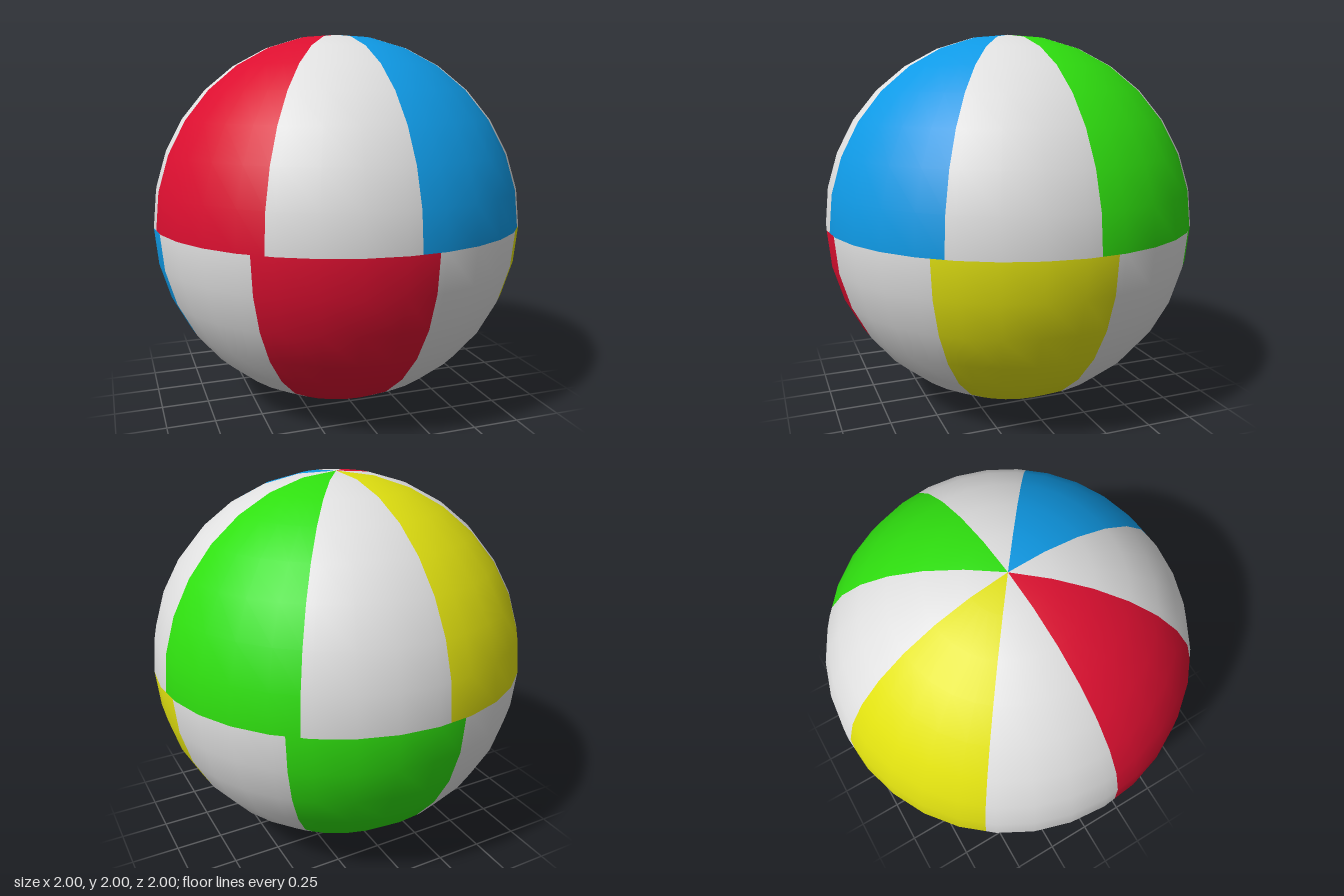
import * as THREE from 'three';

const SIDES = 32;              // facets around the ball
const ROWS = 8;                // rows of facets in each half
const STEP = 360 / SIDES;
const rad = THREE.MathUtils.degToRad;

function material(name, color) {
  const m = new THREE.MeshStandardMaterial({ color });
  m.name = name;
  return m;
}

// One gore between two longitudes (0 = front, 90 = left side), from polar row r0 to r0 + ROWS.
// Its side edges lie on the flat facets, so neighbouring gores meet without a gap.
function goreGeometry(start, end, r0) {
  const angles = [start];
  for (let k = Math.floor(start / STEP) + 1; k * STEP < end; k++) angles.push(k * STEP);
  angles.push(end);

  const positions = [], normals = [], index = [];
  for (let r = r0; r <= r0 + ROWS; r++) {
    const polar = (r / (2 * ROWS)) * Math.PI;
    const s = Math.sin(polar), y = Math.cos(polar);
    for (const a of angles) {
      const offset = a - (Math.floor(a / STEP) + 0.5) * STEP;
      const chord = Math.cos(rad(STEP / 2)) / Math.cos(rad(offset));
      const sx = Math.sin(rad(a)), cz = Math.cos(rad(a));
      positions.push(s * chord * sx, y, s * chord * cz);
      normals.push(s * sx, y, s * cz);
    }
  }
  const n = angles.length;
  for (let r = 0; r < ROWS; r++) {
    for (let i = 0; i < n - 1; i++) {
      const a = r * n + i, b = a + n;
      if (r0 + r < 2 * ROWS - 1) index.push(a, b, b + 1);
      if (r0 + r > 0) index.push(a, b + 1, a + 1);
    }
  }
  const g = new THREE.BufferGeometry();
  g.setAttribute('position', new THREE.Float32BufferAttribute(positions, 3));
  g.setAttribute('normal', new THREE.Float32BufferAttribute(normals, 3));
  g.setIndex(index);
  return g;
}

export function createModel() {
  const red = material('red', 0xdc0f30);
  const blue = material('blue', 0x0f9ae6);
  const green = material('green', 0x2fe00f);
  const yellow = material('yellow', 0xe0e010);
  const white = material('white', 0xe0e0e0);

  const ball = new THREE.Group();
  ball.name = 'beachBall';

  // Each half has four coloured gores with white ones between; the halves are turned against each other
  const halves = [
    { name: 'upper', row: 0, start: 4, width: 49.2, colors: [blue, green, yellow, red] },
    { name: 'lower', row: ROWS, start: -40.8, width: 50, colors: [red, yellow, green, blue] },
  ];
  for (const half of halves) {
    const group = new THREE.Group();
    group.name = half.name + 'Half';
    half.colors.forEach((color, i) => {
      const a = half.start + i * 90;
      const gores = [[a, a + half.width, color], [a + half.width, a + 90, white]];
      for (const [from, to, mat] of gores) {
        const mesh = new THREE.Mesh(goreGeometry(from, to, half.row), mat);
        mesh.name = `${half.name}${mat.name[0].toUpperCase()}${mat.name.slice(1)}Panel`;
        group.add(mesh);
      }
    });
    ball.add(group);
  }
  ball.position.y = 1;

  const model = new THREE.Group();
  model.add(ball);
  return model;
}
